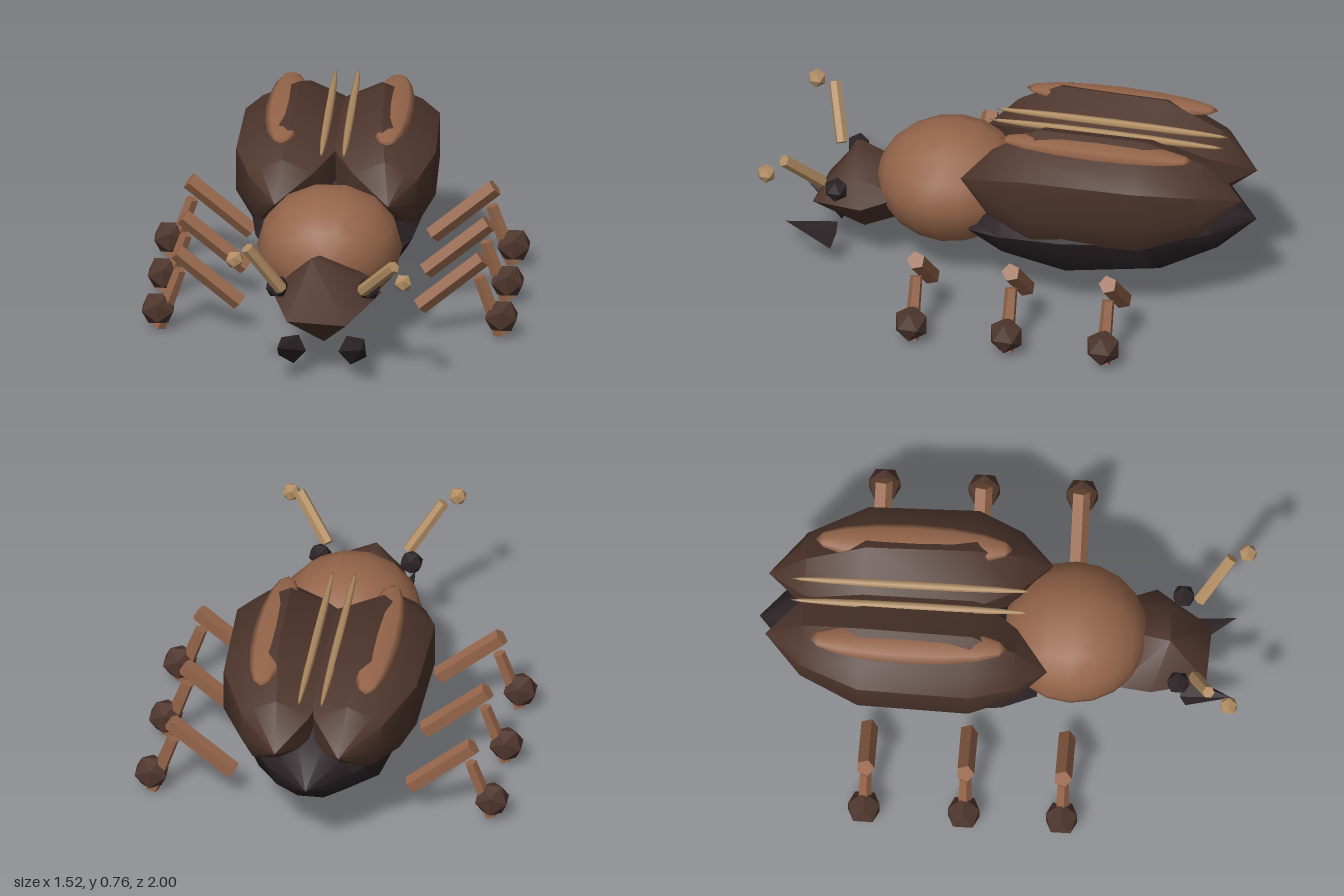
import * as THREE from 'three';
import { toCreasedNormals } from 'three/addons/utils/BufferGeometryUtils.js';
import { ConvexGeometry } from 'three/addons/geometries/ConvexGeometry.js';

const mat = (name, color) => Object.assign(new THREE.MeshStandardMaterial({ color }), { name });

// Loft a clockwise section [dx, dy] along stations [z, cx, cy, scaleX, scaleY], front to back.
function loft(section, stations) {
  const n = section.length, pos = [], idx = [];
  for (const [z, cx, cy, sx, sy = sx] of stations)
    for (const [dx, dy] of section) pos.push(cx + dx * sx, cy + dy * sy, z);
  for (let i = 0; i < stations.length - 1; i++)
    for (let j = 0; j < n; j++) {
      const a = i * n + j, b = i * n + (j + 1) % n, c = a + n, d = b + n;
      if (stations[i + 1][3] === 0) idx.push(a, b, c);
      else if (stations[i][3] === 0) idx.push(a, d, c);
      else idx.push(a, b, d, a, d, c);
    }
  const g = new THREE.BufferGeometry();
  g.setAttribute('position', new THREE.Float32BufferAttribute(pos, 3));
  g.setIndex(idx);
  return toCreasedNormals(g, 0.7);
}

// Straight faceted rod between two points.
function rod(a, b, rA, rB, sides) {
  const p = new THREE.Vector3(...a), q = new THREE.Vector3(...b), d = q.clone().sub(p);
  const g = new THREE.CylinderGeometry(rB, rA, d.length(), sides);
  g.applyQuaternion(new THREE.Quaternion().setFromUnitVectors(new THREE.Vector3(0, 1, 0), d.normalize()));
  g.translate(...p.add(q).multiplyScalar(0.5).toArray());
  return toCreasedNormals(g, 0.5);
}

// Ellipsoid with its poles along z.
function ellipsoid(rx, ry, rz, w, h) {
  return new THREE.SphereGeometry(1, w, h).rotateX(Math.PI / 2).scale(rx, ry, rz);
}

export function createModel() {
  const black = mat('black', 0x2b2225), brown = mat('darkBrown', 0x4d352c);
  const bronze = mat('bronze', 0x95654a), tan = mat('tan', 0xb08c62);
  const model = new THREE.Group();
  model.name = 'beetle';
  const add = (parent, name, geometry, material, p = [0, 0, 0]) => {
    const m = new THREE.Mesh(geometry, material);
    m.name = name;
    m.position.set(...p);
    parent.add(m);
  };

  // Abdomen, with a wide blunt front edge
  const oval = Array.from({ length: 10 }, (_, i) => {
    const a = (i + 0.5) / 10 * Math.PI * 2;
    return [0.355 * Math.sin(a), 0.27 * Math.cos(a)];
  });
  add(model, 'abdomen', loft(oval, [
    [0.14, 0, 0.3, 0.72, 0.1], [0, 0, 0.32, 0.9, 0.62], [-0.27, 0, 0.345, 1],
    [-0.62, 0, 0.36, 0.86], [-0.85, 0, 0.37, 0.48], [-1, 0, 0.37, 0],
  ]), black);

  // Thorax and head
  add(model, 'thorax', ellipsoid(0.295, 0.247, 0.302, 14, 10), bronze, [0, 0.383, 0.274]);
  add(model, 'head', toCreasedNormals(new ConvexGeometry([
    [-0.19, 0.29, 0.45], [0.16, 0.35, 0.45], [0, 0.43, 0.48], [0, 0.2, 0.44],
    [-0.05, 0.48, 0.67], [0.12, 0.41, 0.66], [0.23, 0.31, 0.6], [-0.21, 0.3, 0.6],
    [0, 0.11, 0.64], [-0.14, 0.26, 0.82], [0.1, 0.25, 0.83],
  ].map(p => new THREE.Vector3(...p))), 1.2), brown);

  // Mirrored parts
  const shell = [[-0.01, 0.225], [0.14, 0.16], [0.21, 0.1], [0.21, -0.08],
    [0.14, -0.2], [-0.04, -0.2], [-0.21, -0.09], [-0.22, 0.13]];
  for (const side of [1, -1]) {
    const half = new THREE.Group();
    half.name = side > 0 ? 'leftSide' : 'rightSide';
    half.scale.x = side;
    model.add(half);

    // Wing case with its raised patch and the ridge beside the seam
    add(half, 'wingCase', loft(shell, [
      [0.18, 0.23, 0.52, 0], [0.05, 0.215, 0.53, 0.6], [-0.13, 0.195, 0.54, 1],
      [-0.58, 0.185, 0.54, 1], [-0.82, 0.15, 0.53, 0.65], [-0.97, 0.13, 0.52, 0],
    ]), brown);
    add(half, 'wingPatch', ellipsoid(0.085, 0.03, 0.4, 8, 8), bronze, [0.215, 0.724, -0.385]);
    add(half, 'wingRidge', ellipsoid(0.018, 0.018, 0.49, 6, 8), tan, [0.046, 0.705, -0.385]);

    // Eye and mandible
    add(half, 'eye', new THREE.IcosahedronGeometry(0.05, 0), black, [0.187, 0.37, 0.71]);
    add(half, 'mandible', rod([0.125, 0.115, 0.74], [0.172, 0.185, 0.925], 0.062, 0, 5), black);

    // Antenna, held a little differently on each side
    const [end, tip] = side > 0
      ? [[0.3, 0.54, 0.9], [0.342, 0.495, 0.962]]
      : [[0.3, 0.585, 0.84], [0.345, 0.565, 0.925]];
    add(half, 'antenna', rod([0.165, 0.385, 0.775], end, 0.026, 0.025, 6), tan);
    add(half, 'antennaTip', new THREE.IcosahedronGeometry(0.039, 0), tan, tip);

    // Legs
    for (const z of [0.267, -0.13, -0.535]) {
      const leg = new THREE.Group();
      leg.name = 'leg';
      leg.position.z = z;
      half.add(leg);
      add(leg, 'upperLeg', rod([0.365, 0.13, 0], [0.62, 0.342, 0], 0.038, 0.038, 5), bronze);
      add(leg, 'lowerLeg', rod([0.695, 0.015, 0], [0.608, 0.262, 0], 0.031, 0.026, 5), bronze);
      add(leg, 'foot', new THREE.IcosahedronGeometry(0.075, 0), brown, [0.697, 0.092, 0]);
    }
  }
  return model;
}
